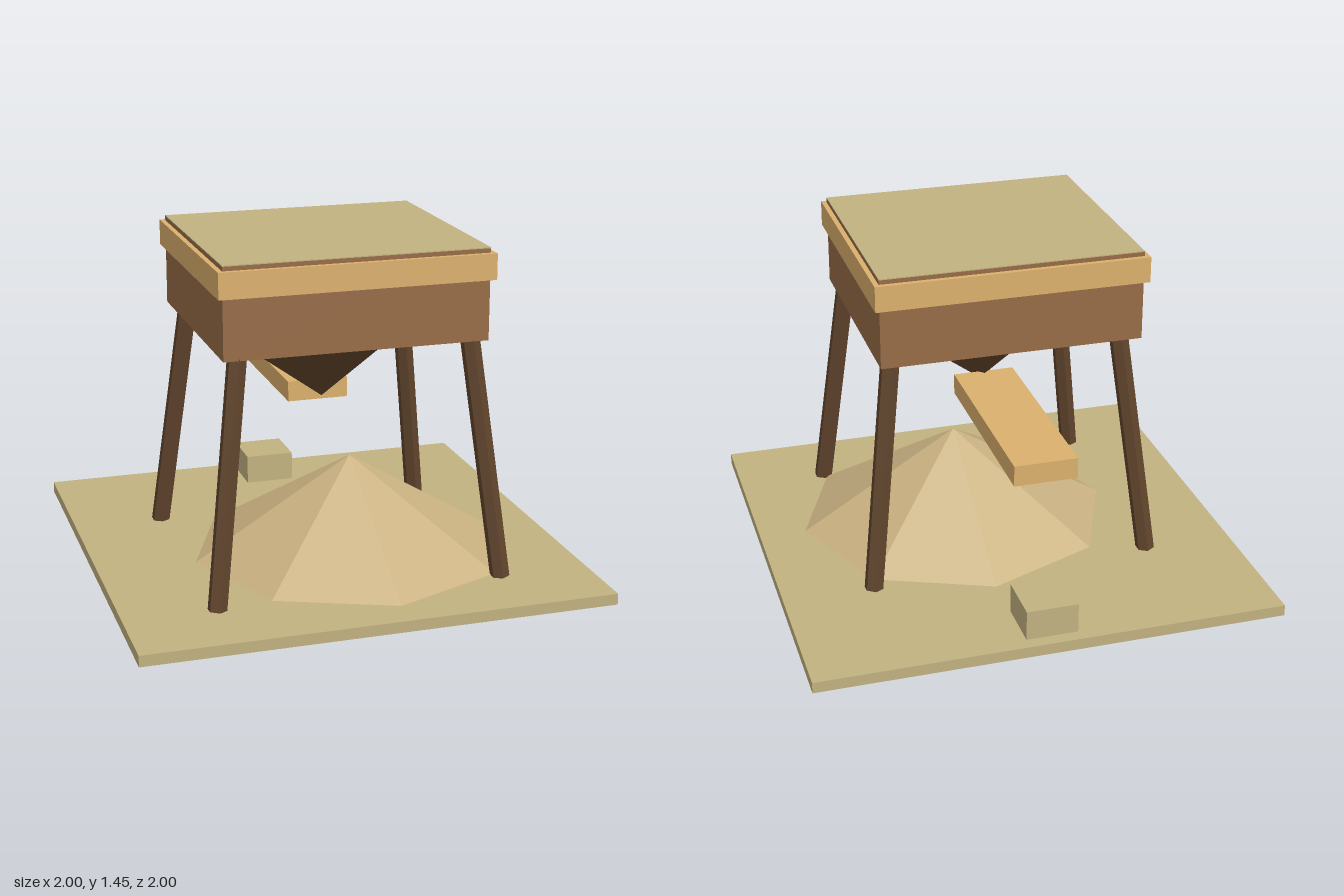
import * as THREE from 'three';

const material = (name, color) =>
  new THREE.MeshStandardMaterial({ name, color, flatShading: true, side: THREE.DoubleSide });

export function createModel() {
  const group = new THREE.Group();
  const sand = material('sand', 0xc2b280);
  const paleSand = material('paleSand', 0xc9b181);
  const lightWood = material('lightWood', 0xdbb06d);
  const brownWood = material('brownWood', 0x976b46);
  const darkWood = material('darkWood', 0x61452d);

  const add = (name, geometry, mat, x, y, z) => {
    const mesh = new THREE.Mesh(geometry, mat);
    mesh.name = name;
    mesh.position.set(x, y, z);
    group.add(mesh);
    return mesh;
  };

  // Box with no underside, given by its lowest and highest corners
  const openBox = (name, mat, [x0, y0, z0], [x1, y1, z1]) => {
    const g = new THREE.BoxGeometry(x1 - x0, y1 - y0, z1 - z0);
    const index = Array.from(g.index.array);
    index.splice(18, 6);
    g.setIndex(index);
    g.clearGroups();
    return add(name, g, mat, (x0 + x1) / 2, (y0 + y1) / 2, (z0 + z1) / 2);
  };

  // Ground slab, pile and small block
  openBox('groundSlab', sand, [-1, 0, -1], [1, 0.048, 1]);
  add('sandPile', new THREE.ConeGeometry(0.688, 0.417, 8, 1, true), paleSand, 0.11, 0.2565, 0.167);
  openBox('block', sand, [-0.11, 0.048, -0.945], [0.11, 0.178, -0.722]);

  // Bin with a filled top and a rim band
  openBox('bin', brownWood, [-0.555, 1.06, -0.387], [0.555, 1.442, 0.613]);
  add('binFill', new THREE.BoxGeometry(1.11, 0.004, 1), sand, 0, 1.444, 0.113);
  openBox('rimBand', lightWood, [-0.576, 1.315, -0.408], [0.576, 1.424, 0.634]);

  // Four-sided funnel, point down, corners on the axes
  const funnel = new THREE.ConeGeometry(0.48, 0.345, 4, 1, true);
  funnel.rotateX(Math.PI);
  add('funnel', funnel, darkWood, 0, 0.9, 0.113);

  // Chute running out to the back
  openBox('chute', lightWood, [-0.132, 0.695, -0.832], [0.132, 0.783, 0.058]);

  // Splayed six-sided legs
  const up = new THREE.Vector3(0, 1, 0);
  for (const sx of [-1, 1]) {
    for (const sz of [-1, 1]) {
      const foot = new THREE.Vector3(sx * 0.611, 0.045, 0.146 + sz * 0.53);
      const top = new THREE.Vector3(sx * 0.487, 1.09, 0.148 + sz * 0.422);
      const dir = top.clone().sub(foot);
      const mid = foot.clone().add(top).multiplyScalar(0.5);
      const leg = add('leg', new THREE.CylinderGeometry(0.041, 0.041, dir.length(), 6), darkWood, mid.x, mid.y, mid.z);
      leg.quaternion.setFromUnitVectors(up, dir.normalize());
    }
  }
  return group;
}
